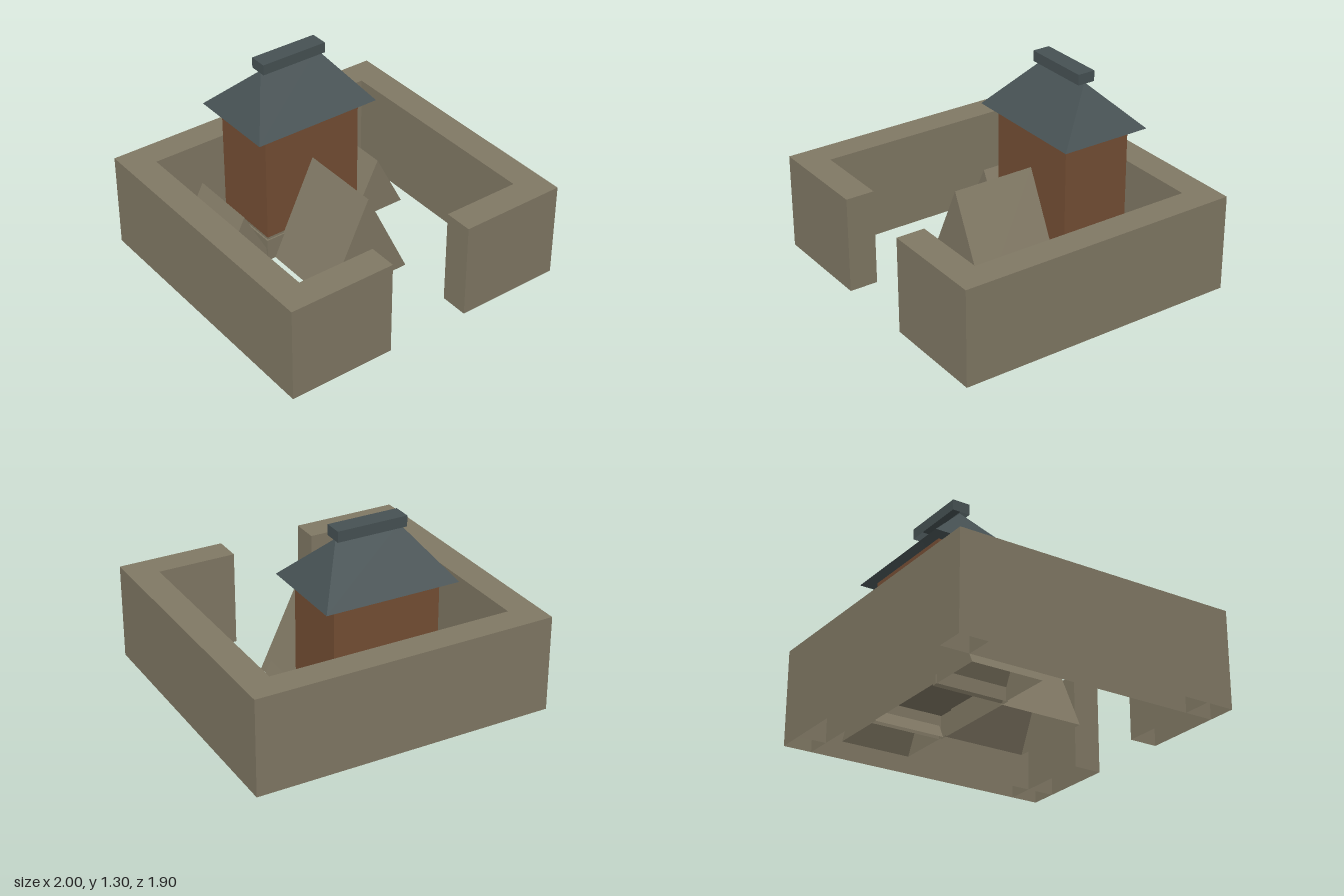
import * as THREE from 'three';

const D = THREE.DoubleSide;
const stone = new THREE.MeshStandardMaterial({ color: 0x807864, side: D });
stone.name = 'stone';
const timber = new THREE.MeshStandardMaterial({ color: 0x744e34, side: D });
timber.name = 'timber';
const slate = new THREE.MeshStandardMaterial({ color: 0x465153, side: D });
slate.name = 'slate';

// Flat-shaded shell from quads and triangles, each a loop of corners
function shell(faces) {
  const p = [];
  for (const f of faces)
    for (let i = 1; i < f.length - 1; i++) p.push(...f[0], ...f[i], ...f[i + 1]);
  const g = new THREE.BufferGeometry();
  g.setAttribute('position', new THREE.Float32BufferAttribute(p, 3));
  g.computeVertexNormals();
  return g;
}

// Box without a floor, given by its limits
function openBox(x0, x1, y0, y1, z0, z1) {
  const a = [x0, y0, z1], b = [x1, y0, z1], c = [x1, y0, z0], d = [x0, y0, z0];
  const up = (v) => [v[0], y1, v[2]];
  const sides = [[a, b], [b, c], [c, d], [d, a]].map(([u, v]) => [u, v, up(v), up(u)]);
  return shell([...sides, [up(a), up(b), up(c), up(d)]]);
}

// Roof without a floor: the ridge runs between r0 and r1
// along x when alongX is true, otherwise along z
function openRoof(x0, x1, z0, z1, y0, y1, r0, r1, alongX) {
  const a = [x0, y0, z1], b = [x1, y0, z1], c = [x1, y0, z0], d = [x0, y0, z0];
  const mx = (x0 + x1) / 2, mz = (z0 + z1) / 2;
  if (alongX) {
    const l = [r0, y1, mz], r = [r1, y1, mz];
    return shell([[a, b, r, l], [b, c, r], [c, d, l, r], [d, a, l]]);
  }
  const k = [mx, y1, r0], f = [mx, y1, r1];
  return shell([[a, b, f], [b, c, k, f], [c, d, k], [d, a, f, k]]);
}

export function createModel() {
  const model = new THREE.Group();
  model.name = 'walledTower';
  const add = (name, geometry, material) => {
    const m = new THREE.Mesh(geometry, material);
    m.name = name;
    model.add(m);
  };

  // Courtyard walls with a gateway at the front
  const H = 0.64;
  add('backWall', openBox(-1, 1, 0, H, -0.95, -0.76), stone);
  for (const [side, s] of [['left', 1], ['right', -1]]) {
    const span = (a, b) => (s > 0 ? [a, b] : [-b, -a]);
    add(side + 'Wall', openBox(...span(0.81, 1), 0, H, -0.95, 0.95), stone);
    add(side + 'FrontWall', openBox(...span(0.285, 1), 0, H, 0.76, 0.95), stone);
    // Low gabled wing beside the tower
    add(side + 'Wing', openRoof(...span(0.32, 0.73), -0.69, -0.217, 0, 0.4, -0.69, -0.217, false), stone);
  }

  // Gabled entrance in front of the tower
  add('entranceGable', openRoof(-0.307, 0.307, -0.217, 0.355, 0, H, -0.217, 0.355, false), stone);

  // Plinth and tower
  add('plinth', openBox(-0.365, 0.365, 0, 0.155, -0.7, -0.205), stone);
  add('plinthCap', openBox(-0.355, 0.355, 0.155, 0.17, -0.69, -0.215), stone);
  add('tower', openBox(-0.355, 0.355, 0.17, 0.93, -0.69, -0.215), timber);

  // Hipped roof with a ridge cap
  add('towerRoof', openRoof(-0.445, 0.445, -0.765, -0.145, 0.93, 1.235, -0.213, 0.213, true), slate);
  add('ridgeCap', openBox(-0.232, 0.232, 1.235, 1.305, -0.515, -0.395), slate);
  return model;
}
